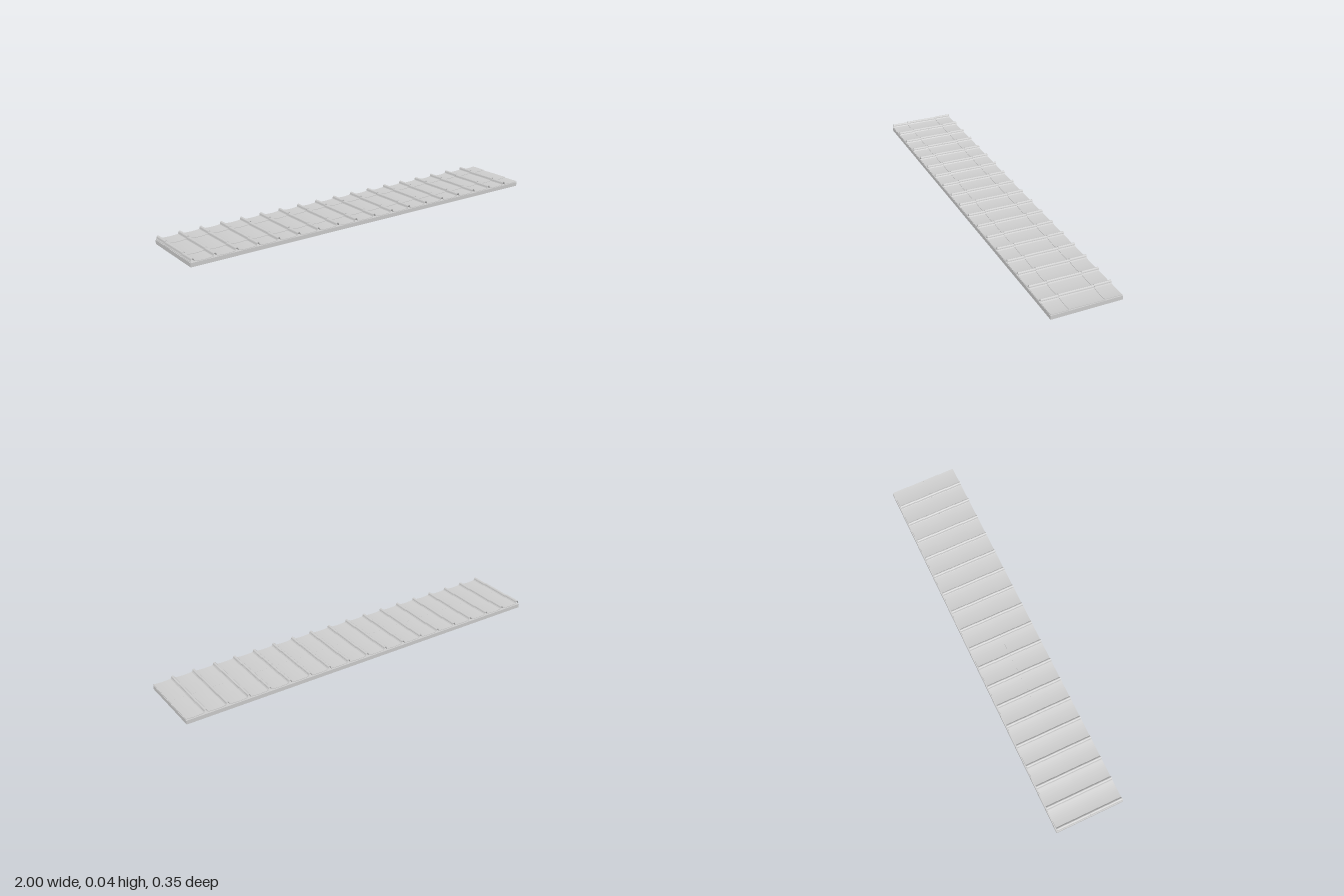
import * as THREE from 'three';

const COLUMNS = 18, ROWS = 4;
const PITCH = 2 / COLUMNS;
const ROW_LENGTH = 0.0873;
const RIDGE = 0.022; // width of the raised roll on each tile
const THICK = 0.0025;

// Outline of one tile: a narrow hollow roll followed by a shallow concave pan
function tileProfile() {
  const top = [[0, 0.004], [0.002, 0.006]];
  for (let i = 0; i <= 8; i++) {
    const a = Math.PI * (1 - i / 8);
    top.push([0.011 + 0.0075 * Math.cos(a), 0.0105 + 0.0095 * Math.sin(a)]);
  }
  for (let i = 0; i <= 10; i++) {
    const t = i / 10;
    const dip = (2 * t - 1) ** 2;
    top.push([RIDGE + (PITCH - RIDGE) * t, THICK + 0.003 * dip]);
  }
  const bottom = top.map(([x, y]) => [x, y - THICK]).reverse();
  return new THREE.Shape([...bottom, ...top.slice()].map(([x, y]) => new THREE.Vector2(x, y)));
}

export function createModel() {
  const model = new THREE.Group();
  const material = new THREE.MeshStandardMaterial({ color: 0xcccccc, side: THREE.DoubleSide });

  // Flat deck under the tiles
  const deck = new THREE.Mesh(new THREE.BoxGeometry(2, 0.02, 0.354), material);
  deck.name = 'roofDeck';
  deck.position.y = 0.01;
  model.add(deck);

  // Rows of tiles, each tipped so its front edge steps over the next row
  const tile = new THREE.ExtrudeGeometry(tileProfile(), { depth: ROW_LENGTH, bevelEnabled: false });
  for (let r = 0; r < ROWS; r++) {
    const row = new THREE.Group();
    row.name = `tileRow${r + 1}`;
    row.position.set(-1, r % 2 ? 0.0218 : 0.0196, 0.177 - (r + 1) * ROW_LENGTH);
    row.rotation.x = r % 2 ? -0.014 : -0.024;
    for (let c = 0; c < COLUMNS; c++) {
      const mesh = new THREE.Mesh(tile, material);
      mesh.name = 'roofTile';
      mesh.position.x = c * PITCH;
      row.add(mesh);
    }
    model.add(row);
  }
  return model;
}
